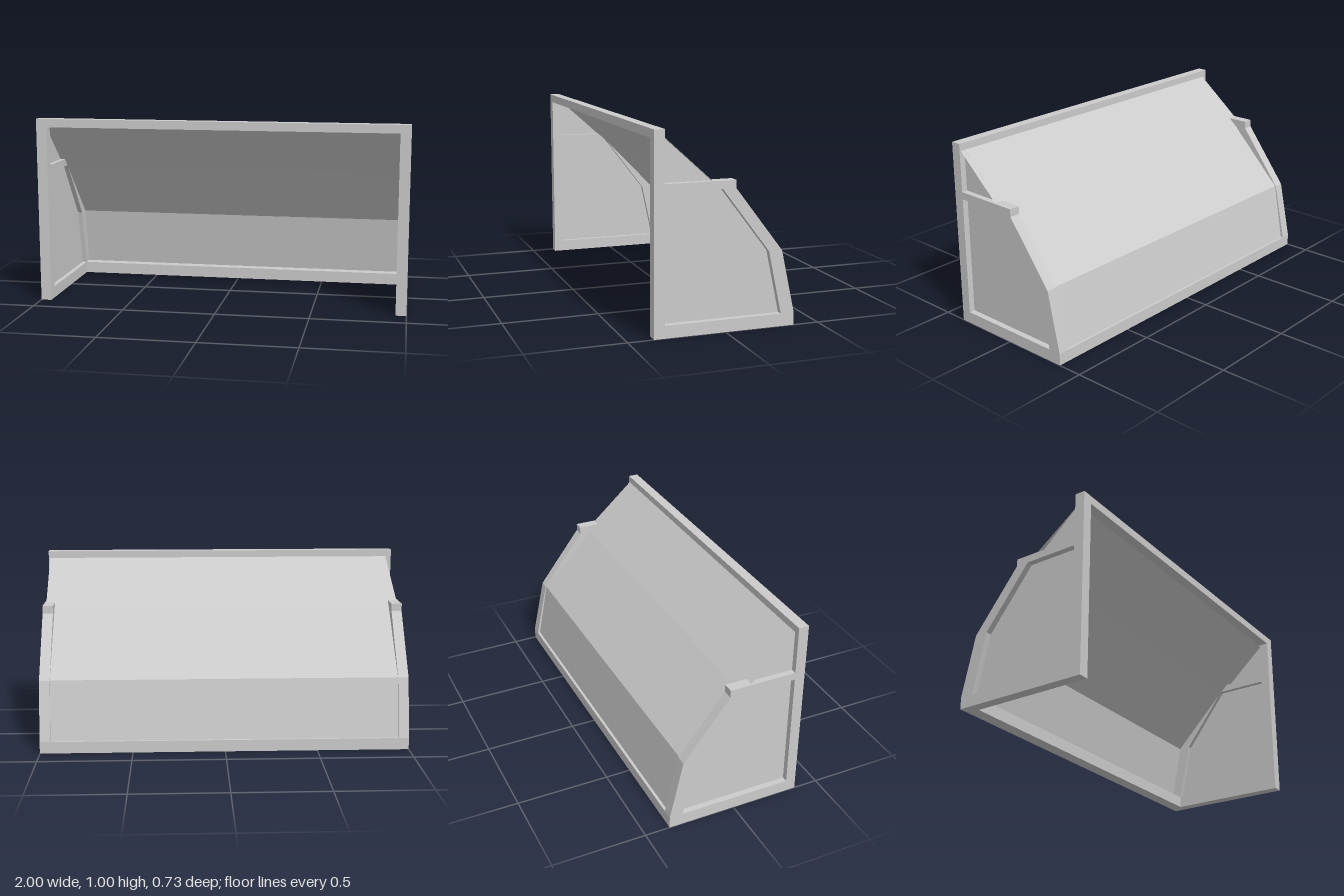
import * as THREE from 'three';

const grey = new THREE.MeshStandardMaterial({ color: 0xcccccc, flatShading: true });
const sheet = new THREE.MeshStandardMaterial({ color: 0xcccccc, flatShading: true, side: THREE.DoubleSide });

// Points are [z, y]; the shape is drawn in (-z, y) so that it can be turned to face +x
const toPoints = (list) => list.map(([z, y]) => new THREE.Vector2(-z, y));

function add(group, name, geometry, material) {
  const mesh = new THREE.Mesh(geometry, material);
  mesh.name = name;
  group.add(mesh);
  return mesh;
}

// Box given by its limits on each axis
function bar(group, name, [x0, x1], [y0, y1], [z0, z1]) {
  const mesh = add(group, name, new THREE.BoxGeometry(x1 - x0, y1 - y0, z1 - z0), grey);
  mesh.position.set((x0 + x1) / 2, (y0 + y1) / 2, (z0 + z1) / 2);
}

// Sheet lofted through rows of [z, y, left x, right x], facing up and back
function loft(rows) {
  const positions = [];
  const index = [];
  rows.forEach(([z, y, x0, x1], i) => {
    positions.push(x0, y, z, x1, y, z);
    if (i < rows.length - 1) {
      const a = i * 2;
      index.push(a, a + 1, a + 2, a + 1, a + 3, a + 2);
    }
  });
  const geometry = new THREE.BufferGeometry();
  geometry.setAttribute('position', new THREE.Float32BufferAttribute(positions, 3));
  geometry.setIndex(index);
  geometry.computeVertexNormals();
  return geometry;
}

export function createModel() {
  const goal = new THREE.Group();
  goal.name = 'goal';

  // Side frame: post, floor bar, sloping back bars and upper bar around one opening
  const frameShape = new THREE.Shape(toPoints([
    [0.368, 0], [-0.366, 0], [-0.366, 0.064], [-0.295, 0.386], [-0.048, 0.708],
    [-0.048, 0.748], [0.313, 0.748], [0.313, 1.005], [0.368, 1.005],
  ]));
  frameShape.holes.push(new THREE.Path(toPoints([
    [0.313, 0.064], [0.313, 0.708], [0.022, 0.708], [-0.225, 0.386], [-0.295, 0.064],
  ])));
  const frameGeometry = new THREE.ExtrudeGeometry(frameShape, { depth: 0.057, bevelEnabled: false });
  frameGeometry.rotateY(Math.PI / 2);

  // Side net, set in the middle of the frame thickness
  const sideNet = new THREE.ShapeGeometry(new THREE.Shape(toPoints([
    [0.33, 0.03], [-0.33, 0.03], [-0.33, 0.065], [-0.26, 0.386], [-0.01, 0.72],
    [0.04, 0.72], [0.07, 0.748], [0.313, 0.967], [0.33, 0.967],
  ])));
  sideNet.rotateY(Math.PI / 2);

  for (const [side, sign] of [['left', 1], ['right', -1]]) {
    add(goal, side + 'Frame', frameGeometry, grey).position.x = sign > 0 ? 0.943 : -1;
    add(goal, side + 'Net', sideNet, sheet).position.x = sign * 0.968;
  }

  // Bars joining the two sides
  bar(goal, 'crossbar', [-0.943, 0.943], [0.96, 1.005], [0.313, 0.368]);
  bar(goal, 'backFloorBar', [-0.943, 0.943], [0, 0.064], [-0.366, -0.295]);

  // Back net, falling from the crossbar to the back floor bar
  add(goal, 'backNet', loft([
    [0.315, 0.968, -0.968, 0.992],
    [0.07, 0.748, -0.992, 0.992],
    [0.022, 0.705, -0.968, 0.968],
    [-0.29, 0.386, -0.968, 0.968],
    [-0.352, 0.06, -0.968, 0.968],
  ]), sheet);

  return goal;
}
